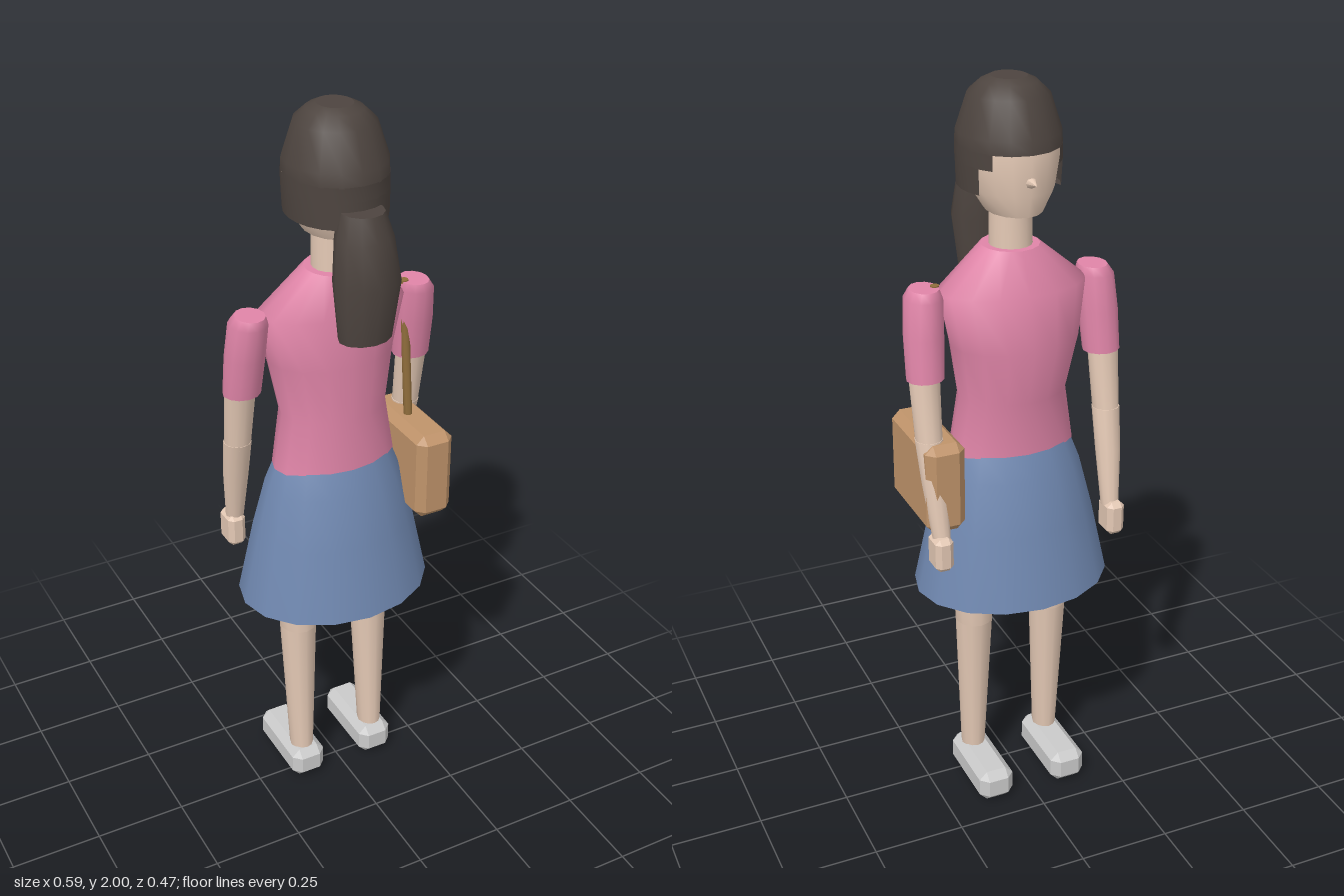
import * as THREE from 'three';
import { ConvexGeometry } from 'three/addons/geometries/ConvexGeometry.js';

const mat = (name, color, extra = {}) => {
  const m = new THREE.MeshStandardMaterial({ color, ...extra });
  m.name = name;
  return m;
};

// Skin a stack of elliptical rings [y, centreX, centreZ, radiusX, radiusZ], lowest first.
// arc is the half angle covered, measured from the back (+z).
function loft(rings, { segments = 16, arc = Math.PI, caps = true } = {}) {
  const pos = [], idx = [];
  const closed = arc === Math.PI;
  const cols = closed ? segments : segments + 1;
  const addRing = ([y, cx, cz, rx, rz]) => {
    const start = pos.length / 3;
    for (let j = 0; j < cols; j++) {
      const t = -arc + (2 * arc * j) / segments;
      pos.push(cx + rx * Math.sin(t), y, cz + rz * Math.cos(t));
    }
    return start;
  };
  const starts = rings.map(addRing);
  for (let i = 0; i < rings.length - 1; i++) {
    for (let j = 0; j < segments; j++) {
      const k = (j + 1) % cols;
      const a = starts[i] + j, b = starts[i] + k, c = starts[i + 1] + k, d = starts[i + 1] + j;
      idx.push(a, b, d, b, c, d);
    }
  }
  if (caps && closed) {
    [rings[0], rings[rings.length - 1]].forEach((ring, top) => {
      const s = addRing(ring);
      const centre = pos.length / 3;
      pos.push(ring[1], ring[0], ring[2]);
      for (let j = 0; j < segments; j++) {
        const k = (j + 1) % cols;
        idx.push(centre, s + (top ? j : k), s + (top ? k : j));
      }
    });
  }
  const g = new THREE.BufferGeometry();
  g.setAttribute('position', new THREE.Float32BufferAttribute(pos, 3));
  g.setIndex(idx);
  g.computeVertexNormals();
  return g;
}

// Box with every edge cut at 45 degrees
function chamferBox(w, h, d, c) {
  const pts = [];
  for (const x of [-w / 2, w / 2]) for (const y of [-h / 2, h / 2]) for (const z of [-d / 2, d / 2]) {
    const ix = x - Math.sign(x) * c, iy = y - Math.sign(y) * c, iz = z - Math.sign(z) * c;
    pts.push(new THREE.Vector3(x, iy, iz), new THREE.Vector3(ix, y, iz), new THREE.Vector3(ix, iy, z));
  }
  return new ConvexGeometry(pts);
}

export function createModel() {
  const model = new THREE.Group();
  model.name = 'woman';
  const skin = mat('skin', 0xe3c8b4);
  const hair = mat('hair', 0x4d443f, { side: THREE.DoubleSide });
  const pink = mat('pink shirt', 0xe085a8);
  const blue = mat('blue skirt', 0x7088b0, { side: THREE.DoubleSide });
  const tan = mat('tan bag', 0xbf936a);
  const brown = mat('brown strap', 0x8f6d3c);
  const grey = mat('grey shoe', 0xcacaca);

  const add = (name, geometry, material, x = 0, y = 0, z = 0) => {
    const m = new THREE.Mesh(geometry, material);
    m.name = name;
    m.position.set(x, y, z);
    model.add(m);
    return m;
  };

  // Clothes
  add('skirt', loft([
    [0.635, 0, -0.016, 0.27, 0.218],
    [0.84, 0, -0.016, 0.225, 0.182],
    [0.98, 0, -0.016, 0.19, 0.142],
    [1.045, 0, -0.016, 0.165, 0.115],
  ], { caps: false }), blue);
  add('shirt', loft([
    [1.035, 0, -0.016, 0.172, 0.112],
    [1.19, 0, -0.02, 0.146, 0.112],
    [1.34, 0, -0.035, 0.172, 0.13],
    [1.48, 0, -0.022, 0.2, 0.115],
    [1.585, 0, -0.012, 0.075, 0.078],
  ]), pink);

  // Neck and head
  add('neck', loft([
    [1.55, 0, -0.015, 0.056, 0.056],
    [1.72, 0, -0.015, 0.053, 0.053],
  ]), skin);
  add('head', loft([
    [1.68, 0, -0.028, 0.07, 0.095],
    [1.735, 0, -0.022, 0.104, 0.115],
    [1.83, 0, -0.01, 0.124, 0.133],
    [1.9, 0, -0.005, 0.114, 0.122],
  ]), skin);
  const nose = add('nose', new THREE.ConeGeometry(0.018, 0.04, 8), skin, 0, 1.77, -0.148);
  nose.rotation.x = -Math.PI / 2;

  // Hair: full crown, then two steps that leave the face open
  add('hairCrown', loft([
    [1.838, 0, -0.002, 0.13, 0.143],
    [1.87, 0, -0.002, 0.129, 0.139],
    [1.96, 0, -0.003, 0.1, 0.108],
    [1.988, 0, -0.004, 0.07, 0.075],
    [2.0, 0, -0.004, 0.045, 0.05],
  ]), hair);
  add('hairTemples', loft([
    [1.8, 0, -0.002, 0.13, 0.143],
    [1.84, 0, -0.002, 0.13, 0.143],
  ], { arc: 2.4 }), hair);
  add('hairBack', loft([
    [1.735, 0, 0, 0.127, 0.143],
    [1.802, 0, -0.002, 0.13, 0.143],
  ], { arc: 2.12 }), hair);
  add('hairUnderside', loft([
    [1.735, 0, 0.03, 0.1, 0.08],
    [1.7351, 0, 0, 0.127, 0.143],
  ], { arc: 2.12 }), hair);
  add('ponytail', loft([
    [1.455, 0, 0.153, 0.07, 0.053],
    [1.61, 0, 0.16, 0.086, 0.074],
    [1.72, 0, 0.145, 0.073, 0.068],
    [1.78, 0, 0.135, 0.055, 0.055],
  ], { segments: 12 }), hair);

  // Limbs, mirrored
  for (const s of [1, -1]) {
    const side = s > 0 ? 'left' : 'right';
    add(side + 'Sleeve', loft([
      [1.27, s * 0.246, -0.043, 0.05, 0.046],
      [1.38, s * 0.242, -0.027, 0.052, 0.054],
      [1.475, s * 0.236, -0.014, 0.049, 0.058],
      [1.497, s * 0.232, -0.01, 0.038, 0.046],
    ], { segments: 12 }), pink);
    add(side + 'UpperArm', loft([
      [1.1, s * 0.251, -0.072, 0.035, 0.035],
      [1.29, s * 0.25, -0.043, 0.041, 0.04],
    ], { segments: 12 }), skin);
    add(side + 'Forearm', loft([
      [0.85, s * 0.243, -0.125, 0.024, 0.024],
      [1.0, s * 0.248, -0.096, 0.034, 0.033],
      [1.115, s * 0.251, -0.07, 0.037, 0.037],
    ], { segments: 12 }), skin);
    add(side + 'Hand', chamferBox(0.05, 0.095, 0.075, 0.013), skin, s * 0.247, 0.816, -0.13);
    add(side + 'Thigh', loft([
      [0.515, s * 0.111, -0.016, 0.05, 0.054],
      [0.64, s * 0.111, -0.019, 0.057, 0.06],
      [0.95, s * 0.09, -0.02, 0.068, 0.07],
    ], { segments: 12 }), skin);
    add(side + 'Shin', loft([
      [0.08, s * 0.112, -0.002, 0.032, 0.038],
      [0.515, s * 0.111, -0.016, 0.05, 0.054],
    ], { segments: 12 }), skin);
    add(side + 'Shoe', chamferBox(0.1, 0.093, 0.245, 0.022), grey, s * 0.11, 0.0465, -0.065);
  }

  // Shoulder bag and strap
  add('bag', chamferBox(0.107, 0.25, 0.285, 0.022), tan, 0.2235, 0.986, 0.011);
  add('strap', loft([
    [1.09, 0.217, 0.006, 0.012, 0.012],
    [1.5, 0.203, -0.01, 0.012, 0.012],
  ], { segments: 8 }), brown);

  return model;
}
